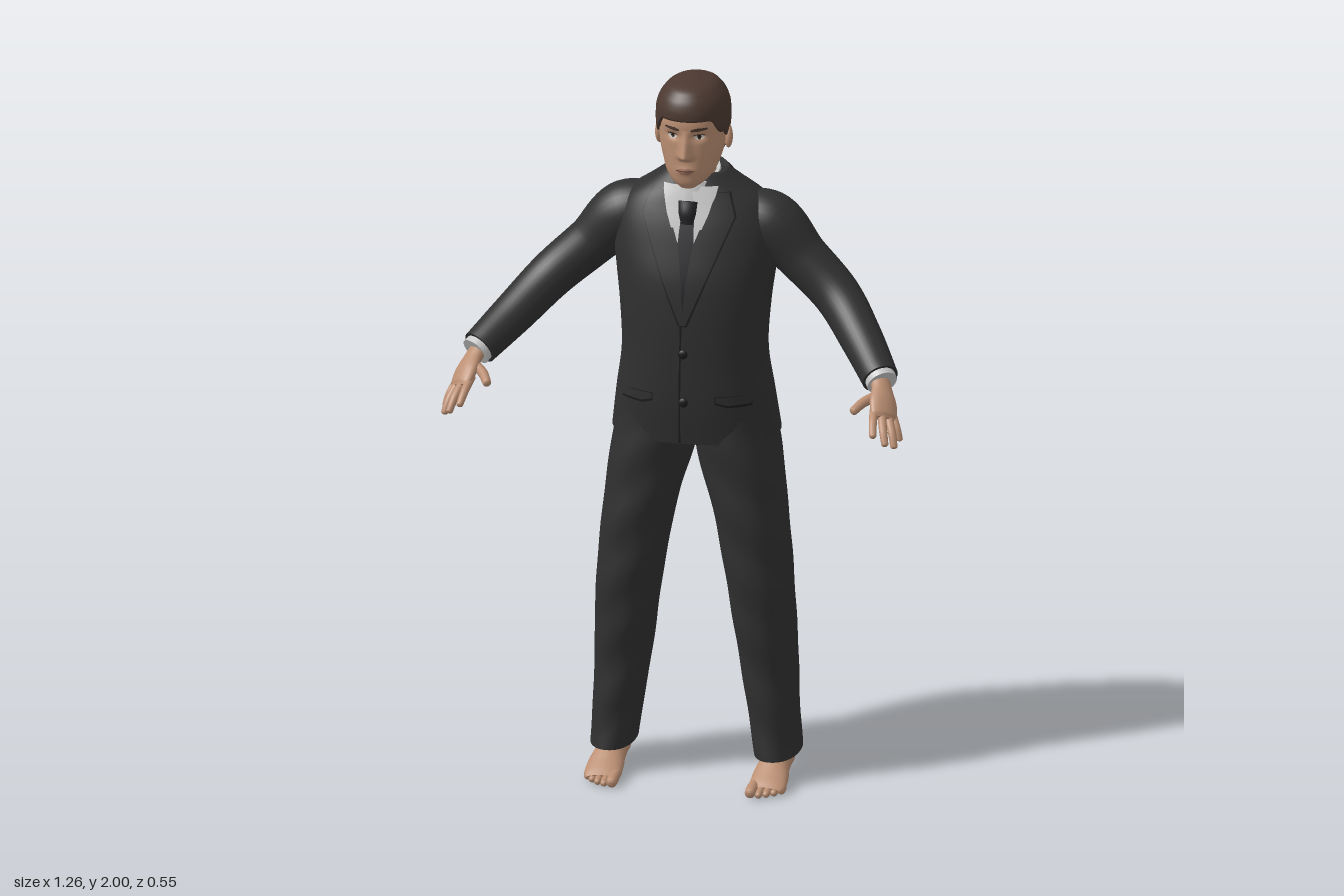
import * as THREE from 'three';

const V = (x, y, z) => new THREE.Vector3(x, y, z);
const step = THREE.MathUtils.smoothstep;
const bump = (d, w) => Math.exp(-((d / w) ** 2));
const mat = (name, color) => Object.assign(new THREE.MeshStandardMaterial({ color }), { name });

// Closed skin over a list of rings, with flat caps
function loft(rings, capStart = true, capEnd = true) {
  const n = rings[0].length, pos = [], idx = [];
  const put = (p) => pos.push(p.x, p.y, p.z) / 3 - 1;
  rings.forEach((r) => r.forEach(put));
  for (let i = 0; i < rings.length - 1; i++) for (let j = 0; j < n; j++) {
    const a = i * n + j, b = i * n + (j + 1) % n;
    idx.push(a, b, a + n, b, b + n, a + n);
  }
  const cap = (ring, flip) => {
    const c = put(ring.reduce((s, p) => s.add(p), V(0, 0, 0)).divideScalar(n));
    const s = ring.map(put);
    for (let j = 0; j < n; j++) {
      const k = (j + 1) % n;
      flip ? idx.push(c, s[k], s[j]) : idx.push(c, s[j], s[k]);
    }
  };
  if (capStart) cap(rings[0], true);
  if (capEnd) cap(rings[rings.length - 1], false);
  return build(pos, idx);
}

function build(pos, idx) {
  const g = new THREE.BufferGeometry();
  g.setAttribute('position', new THREE.Float32BufferAttribute(pos, 3));
  g.setIndex(idx);
  g.computeVertexNormals();
  return g;
}

// Upright body from rows [y, halfWidth, zFront, zBack, xCentre]; dz adds relief to front (+1) or back (-1)
function body(rows, e = 2, dz = () => 0) {
  const f = new THREE.CubicInterpolant(rows.map((r) => r[0]), rows.flatMap((r) => [r[1], r[2], r[3], r[4] ?? 0]), 4);
  const at = (y) => [...f.evaluate(y)];
  const pw = (c) => Math.sign(c) * Math.abs(c) ** (2 / e);
  const point = (y, t) => {
    const [a, zf, zb, cx] = at(y);
    const x = cx + a * pw(Math.cos(t)), s = -Math.sin(t);
    return V(x, y, (zf + zb) / 2 + (zf - zb) / 2 * pw(s) + dz(x, y, Math.sign(s)) * Math.min(1, Math.abs(s) * 3));
  };
  const z = (x, y, side) => {
    const [a, zf, zb, cx] = at(y);
    const k = Math.max(0, 1 - Math.abs((x - cx) / a) ** e) ** (1 / e);
    return (zf + zb) / 2 + side * (zf - zb) / 2 * k + dz(x, y, side);
  };
  const geo = (m, n) => {
    const y0 = rows[0][0], y1 = rows[rows.length - 1][0];
    return loft(Array.from({ length: m + 1 }, (_, i) =>
      Array.from({ length: n }, (_, j) => point(y0 + (y1 - y0) * i / m, j / n * 2 * Math.PI))));
  };
  return { point, z, geo };
}

// Thin piece lying on a body, from rows [y, xMin, xMax]
function plate(on, rows, off, side = 1) {
  const pos = [], idx = [], m = 8, sub = 5, total = (rows.length - 1) * sub;
  for (let i = 0; i <= total; i++) {
    const k = Math.min(Math.floor(i / sub), rows.length - 2), t = i / sub - k;
    const [y, x0, x1] = rows[k].map((v, c) => v + (rows[k + 1][c] - v) * t);
    for (let j = 0; j <= m; j++) {
      const x = x0 + (x1 - x0) * j / m;
      pos.push(x, y, on.z(x, y, side) + side * off);
      if (i < total && j < m) {
        const a = i * (m + 1) + j, b = a + 1, c = a + m + 1, d = c + 1;
        side > 0 ? idx.push(a, b, c, b, d, c) : idx.push(a, c, b, b, c, d);
      }
    }
  }
  return build(pos, idx);
}

// Limb along a smooth path with radii [across, through]
function limb(path, radii, across = V(1, 0, 0), m = 20, n = 20) {
  const curve = new THREE.CatmullRomCurve3(path.map((p) => V(...p)));
  const size = new THREE.CatmullRomCurve3(radii.map((r) => V(r[0] ?? r, r[1] ?? r, 0)));
  return loft(Array.from({ length: m + 1 }, (_, i) => {
    const c = curve.getPoint(i / m), r = size.getPoint(i / m), t = curve.getTangent(i / m);
    const u = across.clone().addScaledVector(t, -across.dot(t)).normalize(), v = t.clone().cross(u);
    return Array.from({ length: n }, (_, j) => {
      const q = j / n * 2 * Math.PI;
      return c.clone().addScaledVector(u, r.x * Math.cos(q)).addScaledVector(v, r.y * Math.sin(q));
    });
  }));
}

function mirrored(geo) {
  const g = geo.clone().scale(-1, 1, 1), a = g.index.array;
  for (let i = 0; i < a.length; i += 3) [a[i], a[i + 1]] = [a[i + 1], a[i]];
  g.computeVertexNormals();
  return g;
}

export function createModel() {
  const model = new THREE.Group();
  model.name = 'manInSuit';
  const suit = mat('suit charcoal', 0x303030), dark = mat('seam black', 0x1b1b1c), skin = mat('skin', 0xbb8f73);
  const hairMat = mat('hair brown', 0x4c3931), shirt = mat('shirt grey', 0xc6c6c6), tieMat = mat('tie', 0x252529);
  const white = mat('eye white', 0xcfc8c2), iris = mat('iris', 0x2c211c), lip = mat('lips', 0xa3735f);
  const add = (name, geo, m) => {
    const mesh = new THREE.Mesh(geo, m);
    mesh.name = name;
    model.add(mesh);
  };
  const pair = (name, geo, m) => { add(name + 'Left', geo, m); add(name + 'Right', mirrored(geo), m); };

  // Jacket with a centre back seam
  const torso = body([[0.985, 0.228, 0.04, -0.275], [1.1, 0.213, 0.055, -0.262], [1.22, 0.197, 0.06, -0.25],
    [1.35, 0.203, 0.06, -0.262], [1.45, 0.215, 0.05, -0.272], [1.53, 0.225, 0.028, -0.272], [1.6, 0.216, 0.005, -0.26],
    [1.65, 0.185, -0.015, -0.238], [1.69, 0.13, -0.03, -0.212], [1.725, 0.085, -0.045, -0.182]], 2.3,
  (x, y, side) => side < 0 ? 0.012 * bump(x, 0.02) : 0);
  add('jacket', torso.geo(60, 80), suit);
  add('backVent', plate(torso, [[0.988, -0.008, 0.004], [1.13, -0.003, 0.003]], 0.003, -1), dark);
  add('frontOpening', plate(torso, [[0.988, -0.016, -0.011], [1.34, -0.008, -0.003]], 0.003), dark);
  for (const y of [1.11, 1.25]) {
    add('jacketButton', new THREE.SphereGeometry(0.013, 16, 10).scale(1, 1, 0.5).translate(0, y, torso.z(0, y, 1) + 0.003), dark);
  }
  pair('pocketShadow', plate(torso, [[1.097, 0.115, 0.178], [1.108, 0.085, 0.178], [1.13, 0.085, 0.15]], 0.004), dark);
  pair('pocketFlap', plate(torso, [[1.105, 0.118, 0.176], [1.114, 0.088, 0.176], [1.13, 0.088, 0.15]], 0.008), suit);

  // Shirt, tie and lapels
  add('shirtFront', plate(torso, [[1.36, -0.004, 0.004], [1.5, -0.025, 0.025], [1.62, -0.06, 0.06], [1.7, -0.075, 0.075]], 0.004), shirt);
  add('tie', plate(torso, [[1.35, -0.012, 0.012], [1.45, -0.028, 0.028], [1.62, -0.018, 0.018]], 0.008), tieMat);
  add('tieKnot', limb([[0, 1.605, 0.012], [0, 1.635, 0.006], [0, 1.665, -0.004]], [[0.016, 0.01], [0.024, 0.017], [0.026, 0.014]]), tieMat);
  pair('collarPoint', plate(torso, [[1.595, 0.036, 0.042], [1.635, 0.02, 0.058], [1.69, 0.008, 0.072]], 0.014), shirt);
  pair('lapelShadow', plate(torso, [[1.33, 0, 0.012], [1.45, 0.008, 0.06], [1.55, 0.022, 0.1], [1.625, 0.05, 0.13],
    [1.65, 0.062, 0.122], [1.685, 0.078, 0.108]], 0.006), dark);
  pair('lapel', plate(torso, [[1.335, -0.002, 0.008], [1.45, 0.006, 0.055], [1.55, 0.02, 0.095], [1.625, 0.048, 0.125],
    [1.65, 0.06, 0.117], [1.685, 0.075, 0.104]], 0.0105), suit);
  const tilt = (g) => {
    const p = g.attributes.position;
    for (let i = 0; i < p.count; i++) p.setY(i, p.getY(i) - 0.35 * (p.getZ(i) + 0.095));
    g.computeVertexNormals();
    return g;
  };
  add('jacketCollar', tilt(body([[1.66, 0.122, -0.035, -0.214], [1.69, 0.105, -0.045, -0.198], [1.712, 0.088, -0.05, -0.183]]).geo(8, 48)), suit);
  add('shirtCollar', tilt(body([[1.65, 0.082, -0.004, -0.178], [1.7, 0.074, -0.018, -0.17], [1.73, 0.067, -0.028, -0.165]]).geo(8, 48)), shirt);

  // Trousers
  pair('trouserLeg', body([[0.075, 0.061, 0, -0.225, 0.225], [0.2, 0.067, -0.005, -0.218, 0.212], [0.35, 0.077, 0, -0.224, 0.198],
    [0.5, 0.085, 0.018, -0.216, 0.185], [0.65, 0.092, 0.027, -0.224, 0.168], [0.8, 0.1, 0.03, -0.236, 0.145],
    [0.93, 0.112, 0.03, -0.255, 0.118], [1.05, 0.108, 0.03, -0.245, 0.1]], 2.2,
  (x, y) => 0.003 * Math.sin(38 * y + 25 * x)).geo(60, 48), suit);

  // Sleeves with cuffs and cuff buttons
  pair('sleeve', limb([[0.12, 1.6, -0.13], [0.2, 1.573, -0.13], [0.29, 1.485, -0.122], [0.39, 1.395, -0.092], [0.475, 1.31, -0.005],
    [0.55, 1.24, 0.1]], [0.068, 0.085, 0.069, 0.064, 0.058, 0.05], V(0, 0, 1), 40, 32), suit);
  pair('shirtCuff', limb([[0.535, 1.255, 0.08], [0.558, 1.232, 0.112]], [0.042, 0.042], V(0, 0, 1), 3, 28), shirt);
  for (let i = 0; i < 3; i++) {
    pair('cuffButton' + i, new THREE.SphereGeometry(0.008, 10, 8).translate(0.578 - 0.014 * i, 1.25 + 0.013 * i, 0.057 - 0.019 * i), dark);
  }

  // Hands: palm, four fingers and a thumb
  const across = V(0.05, -0.03, -0.03);
  pair('palm', limb([[0.545, 1.245, 0.095], [0.56, 1.222, 0.128], [0.572, 1.195, 0.165], [0.58, 1.172, 0.195], [0.584, 1.165, 0.205]],
    [[0.028, 0.023], [0.03, 0.021], [0.041, 0.021], [0.04, 0.016], [0.03, 0.008]], across), skin);
  const fingers = [[[0.553, 1.188, 0.188], [0.56, 1.166, 0.24], [0.567, 1.138, 0.274]], [[0.573, 1.177, 0.19], [0.588, 1.145, 0.24], [0.598, 1.112, 0.262]],
    [[0.589, 1.167, 0.182], [0.608, 1.13, 0.218], [0.617, 1.097, 0.235]], [[0.6, 1.163, 0.168], [0.616, 1.13, 0.187], [0.624, 1.103, 0.192]],
    [[0.552, 1.208, 0.148], [0.522, 1.2, 0.185], [0.502, 1.187, 0.224]]];
  fingers.forEach((p, i) => {
    const r = i === 4 ? 0.0135 : i === 3 ? 0.0095 : 0.011;
    const tip = p[2].map((v, k) => v + (v - p[1][k]) * 0.1);
    pair(i === 4 ? 'thumb' : 'finger' + i, limb([...p, tip], [r * 1.1, r, r * 0.85, r * 0.35], across, 14, 12), skin);
  });

  // Bare feet
  pair('ankle', limb([[0.222, 0.2, -0.135], [0.222, 0.1, -0.135], [0.224, 0.04, -0.13]], [[0.036, 0.045], [0.035, 0.045], [0.036, 0.052]]), skin);
  pair('foot', limb([[0.225, 0.034, -0.192], [0.225, 0.038, -0.172], [0.225, 0.047, -0.11], [0.225, 0.043, -0.05], [0.226, 0.03, 0],
    [0.226, 0.02, 0.038], [0.225, 0.015, 0.058]], [[0.016, 0.016], [0.034, 0.035], [0.038, 0.045], [0.043, 0.041], [0.05, 0.028],
    [0.05, 0.018], [0.042, 0.01]]), skin);
  for (let i = 0; i < 5; i++) {
    const x = [0.19, 0.212, 0.231, 0.249, 0.266][i], z = 0.098 - 0.002 * i - 0.0025 * i * i, r = i ? 0.0105 : 0.0155;
    pair('toe' + i, limb([[x, r + 0.006, 0.02], [x, r + 0.004, z - 0.025], [x, r + 0.001, z - 0.006], [x, r, z]], [r * 0.9, r, r * 0.9, r * 0.35], undefined, 12, 12), skin);
  }

  // Neck and head with nose, eye sockets and mouth relief
  add('neck', limb([[0, 1.6, -0.105], [0, 1.7, -0.097], [0, 1.82, -0.09]], [0.06, 0.058, 0.06]), skin);
  const head = body([[1.71, 0.022, 0.018, -0.035], [1.725, 0.046, 0.027, -0.085], [1.75, 0.066, 0.032, -0.13], [1.78, 0.077, 0.033, -0.16],
    [1.82, 0.087, 0.032, -0.172], [1.86, 0.09, 0.033, -0.178], [1.9, 0.09, 0.034, -0.178], [1.94, 0.08, 0.022, -0.165], [1.975, 0.045, -0.02, -0.12]], 2.15,
  (x, y, side) => {
    if (side < 0) return 0;
    const k = THREE.MathUtils.clamp((1.88 - y) / 0.07, 0, 1);
    return 0.026 * k * step(y, 1.79, 1.807) * bump(x, 0.009 + 0.007 * k)
      - 0.009 * bump(Math.abs(x) - 0.036, 0.018) * bump(y - 1.861, 0.011) + 0.005 * bump(x, 0.022) * bump(y - 1.765, 0.011);
  });
  add('head', head.geo(90, 128), skin);
  pair('eyeWhite', plate(head, [[1.854, 0.031, 0.042], [1.861, 0.022, 0.052], [1.868, 0.03, 0.044]], 0.002), white);
  pair('iris', plate(head, [[1.855, 0.034, 0.039], [1.861, 0.031, 0.042], [1.868, 0.033, 0.04]], 0.003), iris);
  pair('upperLid', plate(head, [[1.867, 0.022, 0.053], [1.87, 0.026, 0.048]], 0.0035), iris);
  pair('eyebrow', plate(head, [[1.879, 0.016, 0.03], [1.884, 0.016, 0.06], [1.889, 0.028, 0.056]], 0.003), hairMat);
  add('lips', plate(head, [[1.756, -0.012, 0.012], [1.765, -0.027, 0.027], [1.773, -0.01, 0.01]], 0.0015), lip);
  add('mouthLine', plate(head, [[1.7645, -0.025, 0.025], [1.7665, -0.025, 0.025]], 0.0025), hairMat);
  pair('ear', new THREE.SphereGeometry(1, 20, 14).scale(0.012, 0.034, 0.021).rotateY(0.35).translate(0.093, 1.832, -0.085), skin);

  // Short hair: fringe, sideburns and a lower nape
  const cut = body([[1.76, 0.068, 0.03, -0.165], [1.8, 0.087, 0.038, -0.18], [1.85, 0.097, 0.044, -0.192], [1.9, 0.1, 0.048, -0.196],
    [1.94, 0.095, 0.046, -0.19], [1.97, 0.078, 0.03, -0.175], [1.99, 0.052, 0, -0.145], [2, 0.014, -0.05, -0.09]], 2.1);
  const n = 96, rings = [];
  for (let i = 0; i <= 28; i++) {
    rings.push(Array.from({ length: n }, (_, j) => {
      const t = j / n * 2 * Math.PI, d = -Math.sin(t);
      const low = 1.775 + 0.09 * step(d, -0.45, -0.1) + 0.045 * step(d, 0.45, 0.8) - 0.022 * bump(d - 0.14, 0.1);
      return cut.point(low + (2 - low) * Math.sin(i / 28 * Math.PI / 2), t);
    }));
  }
  rings.unshift(rings[0].map((p) => V(p.x * 0.78, p.y + 0.004, -0.072 + (p.z + 0.072) * 0.78)));
  add('hair', loft(rings, false, true), hairMat);
  return model;
}
